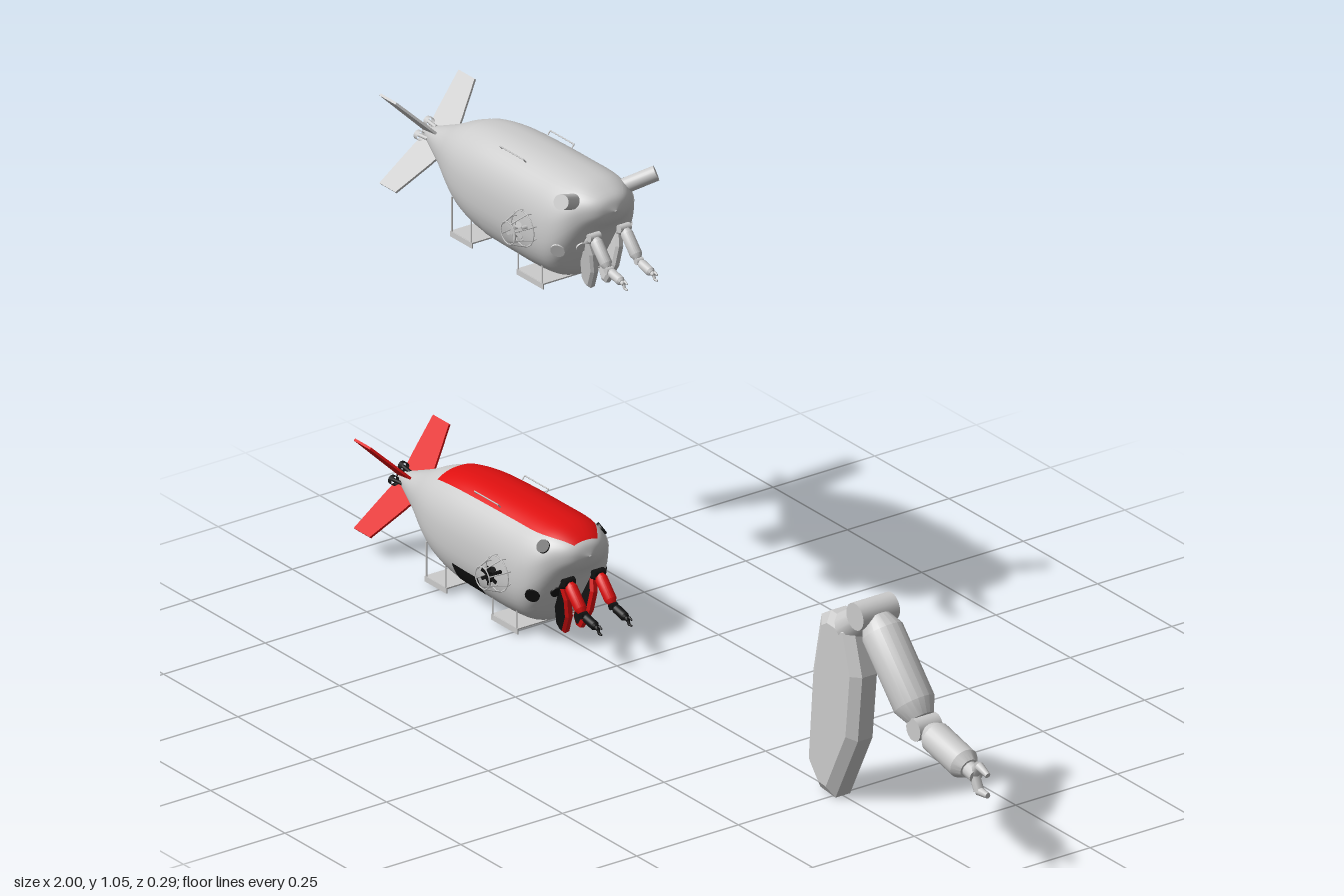
import * as THREE from 'three';
import { mergeVertices, toCreasedNormals } from 'three/addons/utils/BufferGeometryUtils.js';

const V = (x, y, z) => new THREE.Vector3(x, y, z);
const mat = (color) => new THREE.MeshStandardMaterial({ color, side: THREE.DoubleSide });
const GREY = mat(0xcccccc), RED = mat(0xe01010), BLACK = mat(0x111111);
const PLAIN = { main: GREY, accent: GREY, dark: GREY };
const PAINTED = { main: GREY, accent: RED, dark: BLACK };

function add(parent, name, geometry, material) {
  const m = new THREE.Mesh(geometry, material);
  m.name = name;
  parent.add(m);
  return m;
}

// Turns a y-aligned mesh so it runs from a towards b, centred at c
function aim(mesh, a, b, c) {
  mesh.quaternion.setFromUnitVectors(V(0, 1, 0), b.clone().sub(a).normalize());
  mesh.position.copy(c);
  return mesh;
}

function rod(parent, name, a, b, r, material, sides = 8, r2 = r) {
  const g = new THREE.CylinderGeometry(r2, r, a.distanceTo(b), sides);
  return aim(add(parent, name, g, material), a, b, a.clone().lerp(b, 0.5));
}

// Arm segment with chamfered ends
function limb(parent, name, a, b, r, material) {
  const L = a.distanceTo(b);
  const pts = [[0, 0], [0.65, 0], [1, 0.14], [1, 0.86], [0.65, 1], [0, 1]];
  const g = new THREE.LatheGeometry(pts.map(([x, y]) => new THREE.Vector2(x * r, y * L)), 20);
  return aim(add(parent, name, toCreasedNormals(g, 0.5), material), a, b, a);
}

// Hull stations: x, top, bottom, half width
const STATIONS = [
  [-0.975, 0.16, 0.14, 0.01], [-0.93, 0.178, 0.124, 0.028], [-0.874, 0.202, 0.1, 0.05],
  [-0.82, 0.23, 0.07, 0.073], [-0.77, 0.247, 0.046, 0.088], [-0.7, 0.258, 0.031, 0.098],
  [-0.6, 0.262, 0.027, 0.101], [-0.5, 0.263, 0.027, 0.101], [-0.44, 0.262, 0.042, 0.1],
  [-0.4, 0.258, 0.095, 0.088], [-0.37, 0.248, 0.158, 0.062], [-0.35, 0.235, 0.187, 0.036],
  [-0.34, 0.213, 0.211, 0.003],
];
const spine = new THREE.CatmullRomCurve3(STATIONS.map(([x, t, b]) => V(x, t, b)), false, 'catmullrom', 0.5);
const beam = new THREE.CatmullRomCurve3(STATIONS.map((s) => V(s[3], 0, 0)), false, 'catmullrom', 0.5);
const DEG = Math.PI / 180;

function uAt(x) {
  let lo = 0, hi = 1;
  for (let i = 0; i < 30; i++) {
    const mid = (lo + hi) / 2;
    if (spine.getPoint(mid).x < x) lo = mid; else hi = mid;
  }
  return lo;
}

// Point on the hull; the angle runs from the left side (0) over the top (90)
function hullPoint(u, deg, off = 0) {
  const p = spine.getPoint(u), w = beam.getPoint(u).x + off;
  const sup = (v) => Math.sign(v) * Math.abs(v) ** 0.87;
  return V(p.x, (p.y + p.z) / 2 + ((p.y - p.z) / 2 + off) * sup(Math.sin(deg * DEG)), w * sup(Math.cos(deg * DEG)));
}

function hullPatch(u0, u1, d0, d1, off, nu, nd) {
  const pos = [], idx = [];
  for (let i = 0; i <= nu; i++) for (let j = 0; j <= nd; j++) {
    pos.push(...hullPoint(u0 + (u1 - u0) * i / nu, d0 + (d1 - d0) * j / nd, off).toArray());
    if (i < nu && j < nd) {
      const a = i * (nd + 1) + j, b = a + nd + 1;
      idx.push(a, b, a + 1, b, b + 1, a + 1);
    }
  }
  let g = new THREE.BufferGeometry();
  g.setAttribute('position', new THREE.Float32BufferAttribute(pos, 3));
  g.setIndex(idx);
  g = mergeVertices(g, 1e-5);
  g.computeVertexNormals();
  return g;
}

// Folding arm: pod, shoulder, two limbs and a claw
function createArm(c, podTilt = 0) {
  const arm = new THREE.Group();
  arm.name = 'manipulatorArm';
  const bevel = 0.022;
  const outline = [[0.463, 0.39], [0.495, 0.41], [0.57, 0.406], [0.6, 0.3], [0.585, 0.155],
    [0.51, 0.005], [0.46, 0.01], [0.42, 0.06], [0.436, 0.26]];
  const shape = new THREE.Shape(outline.map(([x, y]) => new THREE.Vector2(x, y)));
  const podGeo = new THREE.ExtrudeGeometry(shape, {
    depth: 0.036, bevelEnabled: true, bevelThickness: 0.015, bevelSize: bevel, bevelOffset: -bevel, bevelSegments: 1,
  }).translate(0, -0.4, -0.018);
  const pod = add(arm, 'armPod', podGeo, [c.dark, c.accent]);
  pod.position.y = 0.4;
  pod.rotation.x = podTilt;
  const shoulder = V(0.612, 0.446, 0), elbow = V(0.785, 0.258, 0), wrist = V(0.935, 0.222, 0);
  rod(arm, 'shoulderLink', V(0.535, 0.385, 0), shoulder, 0.036, c.dark, 12, 0.025);
  rod(arm, 'shoulderJoint', V(0.612, 0.446, -0.045), V(0.612, 0.446, 0.045), 0.029, c.dark, 20);
  limb(arm, 'upperArm', V(0.622, 0.436, 0), V(0.772, 0.272, 0), 0.044, c.accent);
  rod(arm, 'elbowJoint', V(0.785, 0.258, -0.028), V(0.785, 0.258, 0.028), 0.024, c.dark, 16);
  limb(arm, 'forearm', elbow.clone().lerp(wrist, 0.12), wrist, 0.033, c.dark);
  rod(arm, 'wrist', wrist, V(0.96, 0.216, 0), 0.017, c.dark, 12);
  for (const s of [1, -1]) {
    const knuckle = V(0.968, 0.213 + s * 0.027, 0);
    rod(arm, 'clawBase', V(0.952, 0.217, 0), knuckle, 0.011, c.dark);
    rod(arm, 'clawFinger', knuckle, V(0.998, 0.208 + s * 0.022, 0), 0.01, c.dark, 8, 0.006);
  }
  return arm;
}

// Caged side thruster; side is +1 or -1 along z
function createSideThruster(c, side) {
  const g = new THREE.Group();
  g.name = 'sideThruster';
  const at = (r, a, z) => V(r * Math.cos(a), r * Math.sin(a), z * side);
  add(g, 'cageInnerRing', new THREE.TorusGeometry(0.038, 0.0013, 6, 16), c.main).position.z = 0.11 * side;
  add(g, 'cageOuterRing', new THREE.TorusGeometry(0.024, 0.0013, 6, 16), c.main).position.z = 0.146 * side;
  for (let i = 0; i < 8; i++) {
    const a = (i + 0.5) * Math.PI / 4;
    rod(g, 'cageRib', at(0.034, a, 0.092), at(0.038, a, 0.11), 0.0014, c.main, 5);
    rod(g, 'cageRib', at(0.038, a, 0.11), at(0.024, a, 0.146), 0.0014, c.main, 5);
  }
  rod(g, 'thrusterStem', at(0, 0, 0.09), at(0, 0, 0.12), 0.005, c.dark);
  rod(g, 'thrusterMotor', V(-0.012, -0.014, 0.12 * side), V(0.004, 0.014, 0.125 * side), 0.008, c.dark, 12);
  for (let i = 0; i < 3; i++) {
    const blade = add(g, 'thrusterBlade', new THREE.BoxGeometry(0.007, 0.042, 0.002), c.dark);
    blade.position.z = 0.13 * side;
    blade.rotation.set(0, 0.3, i * Math.PI / 3);
  }
  g.position.set(-0.503, 0.143, 0);
  return g;
}

function createSubmersible(c, raisedLights) {
  const sub = new THREE.Group();
  add(sub, 'hull', hullPatch(0, 1, 0, 360, 0, 72, 48), c.main);
  add(sub, 'upperDeck', hullPatch(uAt(-0.78), uAt(-0.355), 55, 125, 0.0015, 40, 16), c.accent);

  // Tail fins in a cross, with small ducted propellers between them
  const fin = new THREE.Shape([[-0.975, 0], [-0.985, 0.05], [-1, 0.138], [-0.946, 0.138], [-0.91, 0.055], [-0.89, 0]]
    .map(([x, y]) => new THREE.Vector2(x, y)));
  const finGeo = new THREE.ExtrudeGeometry(fin, { depth: 0.005, bevelEnabled: false }).translate(0, 0, -0.0025);
  add(sub, 'tailCap', new THREE.SphereGeometry(0.011, 16, 10), c.dark).position.set(-0.974, 0.15, 0);
  for (let i = 0; i < 4; i++) {
    const tail = new THREE.Group();
    tail.name = 'tailUnit';
    tail.position.y = 0.15;
    tail.rotation.x = (i + 0.5) * Math.PI / 2;
    add(tail, 'tailFin', finGeo, c.accent);
    const prop = new THREE.Group();
    prop.name = 'tailPropeller';
    prop.rotation.x = Math.PI / 4;
    const duct = add(prop, 'propellerDuct', new THREE.CylinderGeometry(0.01, 0.01, 0.012, 14, 1, true), c.dark);
    duct.rotation.z = Math.PI / 2;
    duct.position.set(-0.968, 0.024, 0);
    rod(prop, 'propellerHub', V(-0.975, 0.024, 0), V(-0.945, 0.02, 0), 0.004, c.dark);
    tail.add(prop);
    sub.add(tail);
  }

  for (const s of [1, -1]) {
    const ang = (d) => (s > 0 ? d : 180 - d);
    sub.add(createSideThruster(c, s));
    const [d0, d1] = [ang(-45), ang(-20)].sort((a, b) => a - b);
    add(sub, 'sideVent', hullPatch(uAt(-0.675), uAt(-0.585), d0, d1, 0.0015, 8, 8), c.dark);

    // Round windows and nose lights
    for (const [x, d, r] of [[-0.4, 38, 0.014], [-0.415, -24, 0.015], [-0.388, -55, 0.012]]) {
      const u = uAt(x), p = hullPoint(u, ang(d));
      const n = hullPoint(u + 0.01, ang(d)).sub(p).cross(hullPoint(u, ang(d) + 1).sub(p)).normalize();
      rod(sub, 'window', p.clone().addScaledVector(n, -0.008), p.clone().addScaledVector(n, 0.003), r, c.dark, 24);
    }
    if (raisedLights) rod(sub, 'noseLight', V(-0.405, 0.222, 0.05 * s), V(-0.364, 0.254, 0.117 * s), 0.016, c.main, 24);

    // Lifting handle beside the deck
    const y = 0.25, z = 0.056 * s, lift = V(0, 0.007, 0.006 * s);
    const a = V(-0.645, y, z), b = V(-0.565, y, z);
    const a2 = a.clone().add(lift), b2 = b.clone().add(lift);
    for (const [p, q] of [[a, a2], [a2, b2], [b2, b]]) rod(sub, 'deckHandle', p, q, 0.0014, c.main, 6);

    const arm = createArm(c, 0.16 * s);
    arm.scale.setScalar(0.29);
    arm.position.set(-0.54, 0.028, 0.037 * s);
    sub.add(arm);
  }

  // Landing skids: a flat tray hung on side frames
  for (const [x0, x1] of [[-0.795, -0.722], [-0.572, -0.483]]) {
    const w = x1 - x0, cx = (x0 + x1) / 2;
    add(sub, 'skidTray', new THREE.BoxGeometry(w, 0.003, 0.146), c.main).position.set(cx, 0.018, 0);
    for (const z of [-0.073, 0.073]) {
      add(sub, 'skidRunner', new THREE.BoxGeometry(w, 0.012, 0.003), c.main).position.set(cx, 0.013, z);
      for (const x of [x0 + 0.004, x1 - 0.004]) rod(sub, 'skidLeg', V(x, 0.012, z), V(x, 0.095, z), 0.0018, c.main, 6);
    }
  }
  return sub;
}

export function createModel() {
  const model = new THREE.Group();
  const lower = createSubmersible(PAINTED, false);
  lower.name = 'paintedSubmersible';
  const upper = createSubmersible(PLAIN, true);
  upper.name = 'plainSubmersible';
  upper.position.set(0.086, 0.787, 0);
  const arm = createArm(PLAIN);
  arm.name = 'largeArm';
  model.add(lower, upper, arm);
  return model;
}
